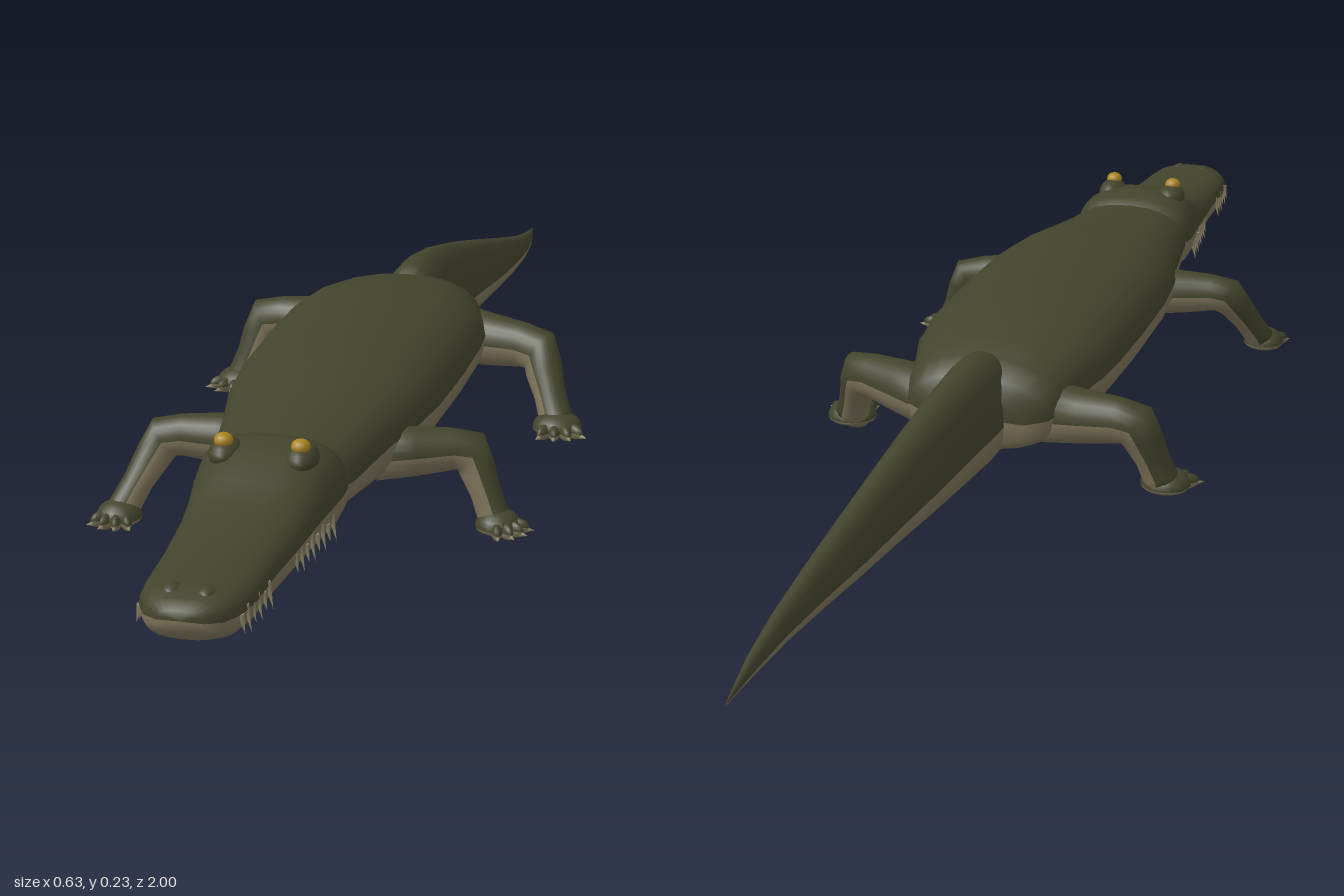
import * as THREE from 'three';

const mat = (name, color, side = THREE.FrontSide) => {
  const m = new THREE.MeshStandardMaterial({ color, side });
  m.name = name;
  return m;
};

export function createModel() {
  const hide = mat('dark olive hide', 0x43442c);
  const belly = mat('tan belly', 0x7d7359);
  const gold = mat('gold eye', 0xa88420);
  const ivory = mat('dull ivory', 0x8f8769);
  const model = new THREE.Group();
  const SEG = 24;

  const add = (parent, name, geo, material, x = 0, y = 0, z = 0) => {
    const m = new THREE.Mesh(geo, material);
    m.name = name;
    m.position.set(x, y, z);
    parent.add(m);
    return m;
  };

  // Skin over closed rings: first half of each ring is hide, second half belly
  function loft(name, rings) {
    const pos = rings.flat().flatMap(p => [p.x, p.y, p.z]);
    const top = [], low = [];
    const mid = r => r.reduce((s, p) => s.add(p), new THREE.Vector3()).divideScalar(SEG);
    const first = pos.length / 3, last = first + 1;
    pos.push(...mid(rings[0]).toArray(), ...mid(rings.at(-1)).toArray());
    for (let i = 0; i < SEG; i++) {
      const out = i < SEG / 2 ? top : low, j = (i + 1) % SEG;
      for (let r = 0; r < rings.length - 1; r++) {
        const a = r * SEG + i, b = r * SEG + j;
        out.push(a, a + SEG, b, b, a + SEG, b + SEG);
      }
      const e = (rings.length - 1) * SEG;
      out.push(first, i, j, last, e + j, e + i);
    }
    const geo = new THREE.BufferGeometry();
    geo.setAttribute('position', new THREE.Float32BufferAttribute(pos, 3));
    geo.setIndex([...top, ...low]);
    geo.addGroup(0, top.length, 0);
    geo.addGroup(top.length, low.length, 1);
    geo.computeVertexNormals();
    return add(model, name, geo, [hide, belly]);
  }

  // Rows: z, centre x, half width, top, widest height (colour line), bottom
  function trunk(name, rows, power) {
    return loft(name, rows.map(([z, cx, w, top, split, bottom]) =>
      Array.from({ length: SEG }, (_, i) => {
        const a = i / SEG * Math.PI * 2, c = Math.cos(a), s = Math.sin(a);
        const px = Math.sign(c) * Math.abs(c) ** power, py = Math.abs(s) ** power;
        return new THREE.Vector3(cx + w * px, split + py * (s >= 0 ? top - split : bottom - split), z);
      })));
  }

  trunk('body', [
    [0.60, 0, 0.080, 0.180, 0.130, 0.085],
    [0.56, 0, 0.100, 0.190, 0.130, 0.075],
    [0.50, 0, 0.110, 0.194, 0.134, 0.068],
    [0.43, 0, 0.122, 0.204, 0.138, 0.060],
    [0.35, 0, 0.140, 0.215, 0.140, 0.057],
    [0.26, 0, 0.150, 0.224, 0.140, 0.055],
    [0.12, 0, 0.154, 0.226, 0.140, 0.054],
    [0.00, 0, 0.153, 0.225, 0.140, 0.054],
    [-0.07, 0, 0.147, 0.218, 0.138, 0.054],
    [-0.13, 0, 0.130, 0.208, 0.132, 0.054],
    [-0.18, 0, 0.120, 0.195, 0.125, 0.056],
    [-0.21, 0, 0.108, 0.175, 0.120, 0.065],
    [-0.225, 0, 0.075, 0.155, 0.115, 0.080]], 0.85);

  trunk('head', [
    [1.000, 0, 0.030, 0.122, 0.108, 0.095],
    [0.988, 0, 0.050, 0.133, 0.107, 0.080],
    [0.960, 0, 0.065, 0.138, 0.107, 0.070],
    [0.920, 0, 0.071, 0.139, 0.107, 0.066],
    [0.840, 0, 0.074, 0.145, 0.110, 0.065],
    [0.750, 0, 0.081, 0.156, 0.113, 0.065],
    [0.700, 0, 0.086, 0.174, 0.118, 0.065],
    [0.655, 0, 0.093, 0.197, 0.124, 0.065],
    [0.610, 0, 0.099, 0.203, 0.128, 0.065],
    [0.580, 0, 0.098, 0.197, 0.130, 0.066],
    [0.560, 0, 0.085, 0.185, 0.130, 0.078]], 0.75);

  trunk('tail', [
    [-0.14, 0.000, 0.040, 0.185, 0.115, 0.060],
    [-0.19, 0.002, 0.050, 0.208, 0.112, 0.047],
    [-0.24, 0.004, 0.048, 0.211, 0.107, 0.042],
    [-0.32, 0.010, 0.043, 0.202, 0.099, 0.041],
    [-0.42, 0.019, 0.038, 0.182, 0.088, 0.040],
    [-0.52, 0.029, 0.032, 0.158, 0.078, 0.039],
    [-0.62, 0.038, 0.027, 0.133, 0.068, 0.038],
    [-0.72, 0.047, 0.021, 0.108, 0.061, 0.037],
    [-0.82, 0.053, 0.015, 0.084, 0.055, 0.037],
    [-0.91, 0.052, 0.009, 0.066, 0.050, 0.039],
    [-1.00, 0.045, 0.001, 0.049, 0.047, 0.045]], 0.95);

  // Eyes on low brow ridges, and nostrils
  for (const s of [1, -1]) {
    const side = s > 0 ? 'left' : 'right';
    add(model, side + 'Brow', new THREE.SphereGeometry(0.022, 16, 10), hide, s * 0.052, 0.188, 0.638).scale.set(1, 0.9, 1.5);
    add(model, side + 'Eye', new THREE.SphereGeometry(0.013, 14, 10), gold, s * 0.052, 0.207, 0.646).scale.set(1, 0.8, 1);
    add(model, side + 'Nostril', new THREE.SphereGeometry(0.012, 12, 8), hide, s * 0.022, 0.132, 0.962).scale.set(1, 0.7, 1.3);
  }

  // Teeth hang outward along the jaw line in two clusters
  const toothGeo = new THREE.ConeGeometry(0.0045, 0.034, 6);
  for (const s of [1, -1])
    for (const [z0, n, x0, dx] of [[0.64, 8, 0.094, -0.0022], [0.87, 6, 0.074, -0.0016]])
      for (let i = 0; i < n; i++) {
        const t = add(model, 'tooth', toothGeo, ivory, s * (x0 + dx * i), 0.095, z0 + i * 0.018);
        t.rotation.z = Math.PI + s * 0.2;
        t.scale.y = i % 2 ? 0.75 : 1.1;
      }

  // Domed pad: hide above, tan sole below
  function pad(parent, name, x, z, rx, h, rz, yaw = 0) {
    const g = new THREE.Group();
    g.name = name;
    g.position.set(x, 0.012, z);
    g.rotation.y = yaw;
    parent.add(g);
    add(g, name + 'Top', new THREE.SphereGeometry(1, 16, 6, 0, Math.PI * 2, 0, Math.PI / 2), hide).scale.set(rx, h, rz);
    add(g, name + 'Sole', new THREE.SphereGeometry(1, 16, 6, 0, Math.PI * 2, Math.PI / 2, Math.PI / 2), belly).scale.set(rx, 0.012, rz);
  }

  // Leg: tube bent at the knee, ending in a splayed foot
  function leg(name, hip, knee, foot, size, yaw) {
    const P = (a, b, t, y) => new THREE.Vector3(a[0] + (b[0] - a[0]) * t, y, a[1] + (b[1] - a[1]) * t);
    const path = [P(hip, knee, 0, 0.112), P(hip, knee, 0.4, 0.112), P(hip, knee, 0.8, 0.114), P(hip, knee, 1, 0.110),
      P(knee, foot, 0.25, 0.088), P(knee, foot, 0.6, 0.055), P(knee, foot, 0.9, 0.025), P(knee, foot, 1, 0.014)];
    const thick = [0.046, 0.041, 0.035, 0.036, 0.030, 0.025, 0.026, 0.028];
    const wide = [0.048, 0.038, 0.031, 0.031, 0.030, 0.026, 0.026, 0.028];
    const up = new THREE.Vector3(0, 1, 0);
    const u = P(hip, knee, 1, 0).sub(P(hip, knee, 0, 0)).normalize().cross(up);
    loft(name, path.map((p, k) => {
      const d = path[Math.min(k + 1, 7)].clone().sub(path[Math.max(k - 1, 0)]).normalize();
      const v = u.clone().cross(d).normalize();
      return Array.from({ length: SEG }, (_, i) => {
        const a = i / SEG * Math.PI * 2;
        return p.clone().addScaledVector(u, Math.cos(a) * wide[k] * size).addScaledVector(v, Math.sin(a) * thick[k] * size);
      });
    }));
    const g = new THREE.Group();
    g.name = name + 'Foot';
    g.position.set(foot[0], 0, foot[1]);
    g.rotation.y = yaw;
    g.scale.set(size, 1, size);
    model.add(g);
    pad(g, 'footPad', 0, 0.006, 0.038, 0.024, 0.036);
    for (let i = -1.5; i <= 1.5; i++) {
      const a = i * 0.42, sx = Math.sin(a), cz = Math.cos(a);
      pad(g, 'toe', sx * 0.036, cz * 0.034, 0.009, 0.012, 0.021, a);
      const claw = add(g, 'claw', new THREE.ConeGeometry(0.005, 0.016, 6), ivory, sx * 0.058, 0.008, cz * 0.056);
      claw.rotation.set(Math.PI / 2, 0, -a);
    }
  }

  leg('frontLeftLeg', [0.09, 0.395], [0.215, 0.355], [0.255, 0.372], 0.86, 0.9);
  leg('frontRightLeg', [-0.09, 0.385], [-0.215, 0.40], [-0.262, 0.462], 0.86, -0.1);
  leg('hindLeftLeg', [0.09, -0.155], [0.225, -0.105], [0.265, -0.045], 1, 0.3);
  leg('hindRightLeg', [-0.09, -0.155], [-0.225, -0.160], [-0.262, -0.138], 1, -0.3);

  return model;
}
